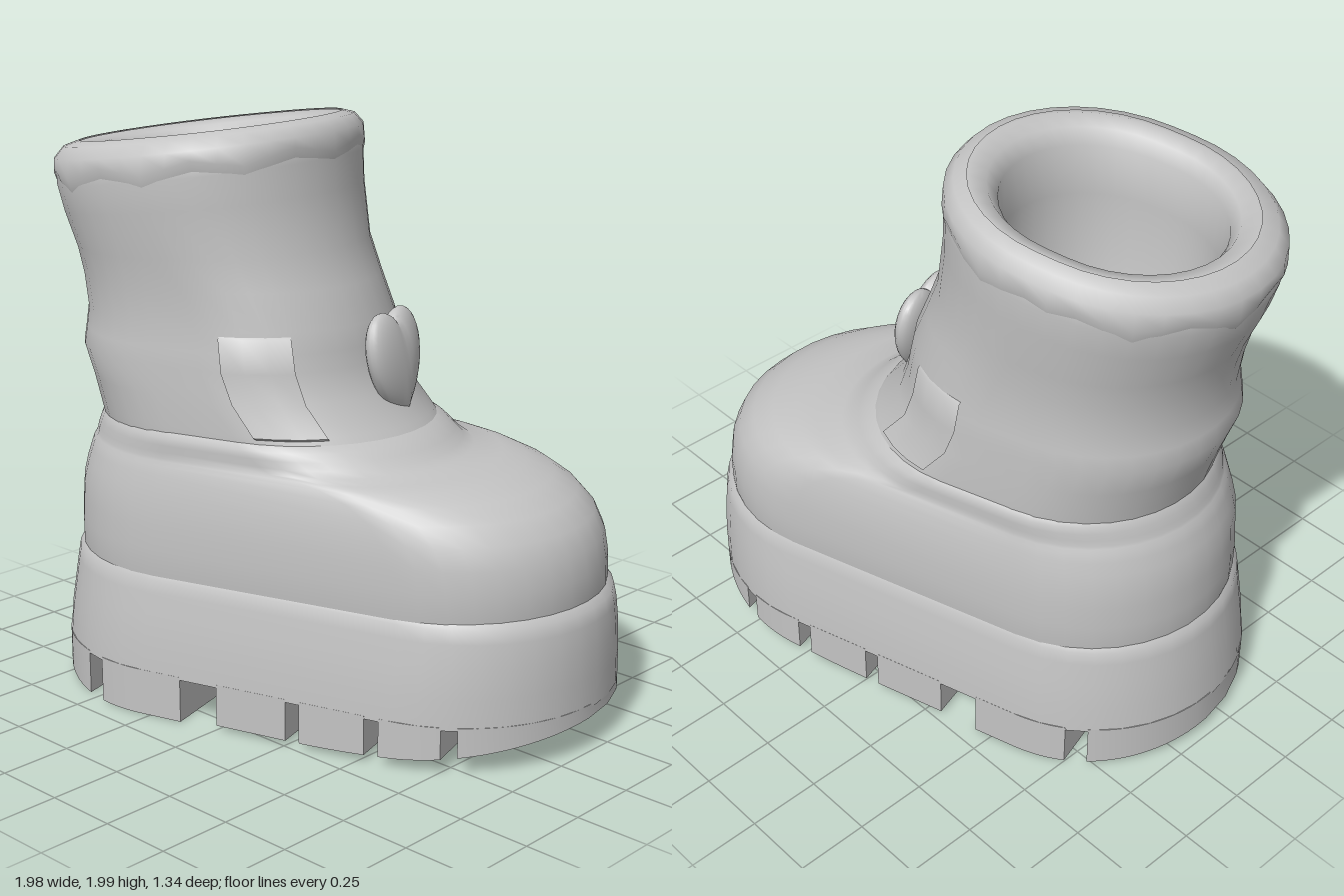
import * as THREE from 'three';
import { mergeVertices, toCreasedNormals } from 'three/addons/utils/BufferGeometryUtils.js';

const N = 18; // segments per half ring

// Rounded outline: two half ellipses joined by straight sides (u = x forwards, v = z)
function outline(back, front, w, from = -90, to = 270) {
  const r = Math.min(w, (front - back) / 2), pts = [];
  for (const [start, c] of [[-90, front - r], [90, back + r]]) {
    for (let i = 0; i <= N; i++) {
      const deg = start + (180 * i) / N;
      if (deg < from || deg > to) continue;
      const t = THREE.MathUtils.degToRad(deg);
      pts.push([c + r * Math.cos(t), w * Math.sin(t)]);
    }
  }
  return pts;
}

// The upper shaft leans, so its rim is higher at the front
const lean = (u, y) => 0.13 * (u + 0.45) * THREE.MathUtils.smoothstep(y, 1.4, 1.8);

// Skin over rings of [y, back, front, halfWidth]
function loft(rings, { from, to, closed = true, wave = () => 0, crease = 0.9 } = {}) {
  const pos = [], index = [];
  let n = 0;
  rings.forEach(([y, back, front, w], k) => {
    const pts = outline(back, front, w, from, to);
    n = pts.length;
    pts.forEach(([u, v], j) => pos.push(u, y + lean(u, y) + wave(k, j), v));
  });
  for (let i = 0; i < rings.length - 1; i++) {
    for (let j = 0; j < (closed ? n : n - 1); j++) {
      const a = i * n + j, b = i * n + ((j + 1) % n);
      index.push(a, a + n, b + n, a, b + n, b);
    }
  }
  const g = new THREE.BufferGeometry();
  g.setAttribute('position', new THREE.Float32BufferAttribute(pos, 3));
  g.setIndex(index);
  return toCreasedNormals(mergeVertices(g, 1e-5), crease);
}

// Sole footprint and its tread blocks
const SOLE = { back: -0.99, front: 1.012, w: 0.542 };
function soleHalfWidth(u) {
  const { back, front, w } = SOLE;
  const d = Math.max(0, u - (front - w), back + w - u);
  return Math.sqrt(Math.max(0, w * w - d * d));
}
function lugGeometry(a, b) {
  const steps = 20, near = [], far = [];
  for (let i = 0; i <= steps; i++) {
    const u = a + ((b - a) * i) / steps, h = soleHalfWidth(u);
    near.push(new THREE.Vector2(u, h));
    if (h > 1e-4) far.unshift(new THREE.Vector2(u, -h));
  }
  const g = new THREE.ExtrudeGeometry(new THREE.Shape([...far, ...near]), { depth: 0.16, bevelEnabled: false });
  g.rotateX(Math.PI / 2).translate(0, 0.16, 0);
  // rocker: the underside lifts at toe and heel
  const p = g.attributes.position;
  for (let i = 0; i < p.count; i++) {
    const u = p.getX(i), y = p.getY(i);
    const toe = Math.max(0, (u - 0.1) / 0.9), heel = Math.max(0, (-0.55 - u) / 0.44);
    const lift = 0.1 * toe ** 2 + 0.045 * heel ** 2 + (u > -0.2 ? 0.015 : 0);
    p.setY(i, y + lift * (1 - y / 0.16));
  }
  return toCreasedNormals(g, 0.6);
}

// Puffy heart made from a sphere
function heartGeometry() {
  let g = new THREE.SphereGeometry(1, 32, 20);
  const p = g.attributes.position;
  for (let i = 0; i < p.count; i++) {
    const x = p.getX(i);
    p.setXYZ(i, x * 0.165, (p.getY(i) + 0.5 * Math.abs(x) ** 0.75) * 0.17, p.getZ(i) * 0.06);
  }
  g.deleteAttribute('normal');
  g.deleteAttribute('uv');
  g = mergeVertices(g, 1e-5);
  return toCreasedNormals(g, 0.9).rotateY(Math.PI / 2);
}

export function createModel() {
  const grey = new THREE.MeshStandardMaterial({ color: 0xc4c4c4, side: THREE.DoubleSide });
  grey.name = 'grey';
  const model = new THREE.Group();
  model.name = 'boot';
  const boot = new THREE.Group();
  boot.name = 'turnedBoot';
  boot.rotation.y = 0.285; // toe points forward along x and away from the front
  model.add(boot);
  const add = (name, geometry) => {
    const m = new THREE.Mesh(geometry, grey);
    m.name = name;
    boot.add(m);
    return m;
  };

  // Thick sole wall
  add('sole', loft([
    [0.15, -0.4, 0.4, 0.001],
    [0.15, SOLE.back, SOLE.front, SOLE.w],
    [0.25, -0.98, 1.012, 0.537],
    [0.35, -0.965, 1.008, 0.525],
    [0.43, -0.953, 1.0, 0.513],
    [0.475, -0.945, 0.99, 0.506],
    [0.495, -0.925, 0.965, 0.495],
  ]));

  // Tread: heel blocks, arch gap, then toe bars
  const lugs = [[SOLE.back, -0.7], [-0.63, -0.3], [-0.16, 0.1], [0.15, 0.385], [0.435, 0.64], [0.69, SOLE.front]];
  lugs.forEach(([a, b], i) => add(`treadBlock${i + 1}`, lugGeometry(a, b)));

  // Rounded foot with a toe dome and a crease at the throat
  add('foot', loft([
    [0.42, -0.92, 0.955, 0.49],
    [0.5, -0.93, 0.968, 0.502],
    [0.58, -0.93, 0.966, 0.504],
    [0.66, -0.925, 0.952, 0.503],
    [0.73, -0.92, 0.918, 0.498],
    [0.79, -0.905, 0.855, 0.49],
    [0.835, -0.89, 0.77, 0.482],
    [0.865, -0.88, 0.67, 0.475],
    [0.88, -0.87, 0.585, 0.47],
    [0.89, -0.865, 0.48, 0.468],
    [0.91, -0.86, 0.44, 0.468],
    [0.935, -0.85, 0.41, 0.47],
    [0.96, -0.84, 0.375, 0.47],
    [0.985, -0.82, 0.33, 0.455],
    [1.0, -0.78, 0.28, 0.42],
  ], { crease: 1.1 }));

  // Shaft with soft folds, rolled rim and hollow inside
  add('shaft', loft([
    [0.94, -0.83, 0.37, 0.455],
    [1.0, -0.845, 0.325, 0.46],
    [1.1, -0.875, 0.24, 0.455],
    [1.2, -0.91, 0.205, 0.458],
    [1.26, -0.9, 0.195, 0.453],
    [1.33, -0.89, 0.18, 0.448],
    [1.45, -0.905, 0.13, 0.45],
    [1.55, -0.925, 0.085, 0.462],
    [1.7, -0.97, 0.06, 0.48],
    [1.8, -0.995, 0.055, 0.488],
    [1.88, -1.0, 0.05, 0.482],
    [1.918, -0.965, 0.02, 0.455],
    [1.932, -0.91, -0.02, 0.41],
    [1.915, -0.855, -0.075, 0.355],
    [1.87, -0.825, -0.11, 0.325],
    [1.7, -0.81, -0.11, 0.32],
    [1.3, -0.79, -0.12, 0.31],
    [1.15, -0.72, -0.18, 0.25],
    [1.09, -0.46, -0.45, 0.005],
  ]));

  // Fluffy cuff with a zigzag lower edge
  add('cuff', loft([
    [1.795, -0.99, 0.052, 0.485],
    [1.835, -1.005, 0.06, 0.496],
    [1.885, -1.004, 0.055, 0.49],
    [1.922, -0.97, 0.025, 0.46],
    [1.936, -0.915, -0.015, 0.414],
  ], { wave: (k, j) => (k < 2 ? 0.018 * (Math.abs((j % 4) - 2) - 1) : 0) }));

  // Thin flaps on either side of the ankle
  for (const [name, from, to] of [['leftFlap', 48, 82], ['rightFlap', -82, -48]]) {
    add(name, loft([
      [0.99, -0.84, 0.33, 0.455],
      [1.0, -0.845, 0.332, 0.467],
      [1.1, -0.875, 0.247, 0.462],
      [1.2, -0.91, 0.212, 0.465],
      [1.31, -0.89, 0.19, 0.456],
      [1.32, -0.89, 0.18, 0.445],
    ], { from, to, closed: false }));
  }

  // Heart on the front of the ankle
  const heart = add('heart', heartGeometry());
  heart.position.set(0.235, 1.165, 0.01);
  heart.rotation.z = 0.12;

  return model;
}
